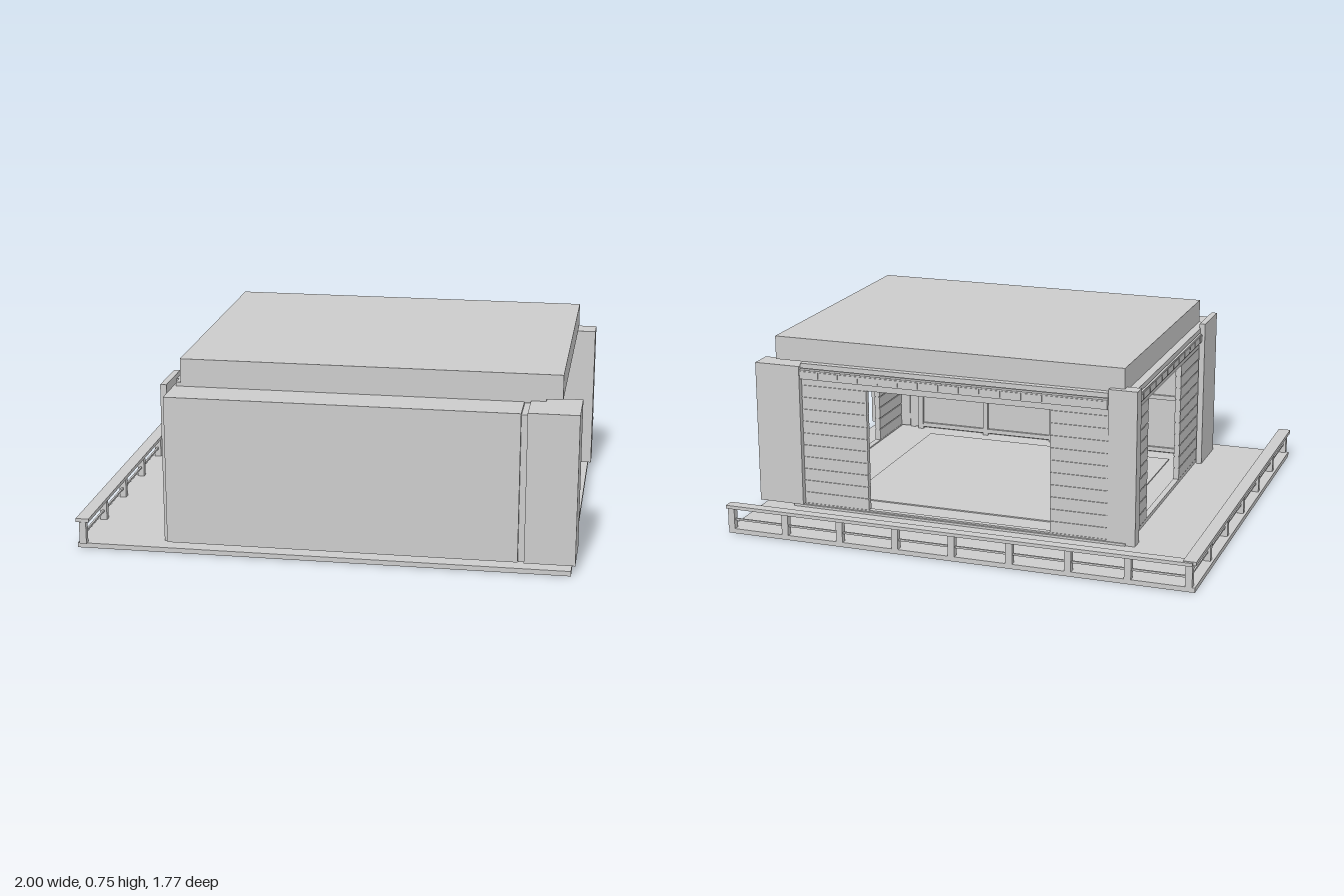
import * as THREE from 'three';

const material = new THREE.MeshStandardMaterial({ color: 0xcccccc, flatShading: true });

export function createModel() {
  const model = new THREE.Group();
  model.name = 'pavilion';

  const group = (name) => {
    const g = new THREE.Group();
    g.name = name;
    model.add(g);
    return g;
  };

  // Box given by its extents on each axis
  const box = (name, [x0, x1], [y0, y1], [z0, z1], parent = model) => {
    const mesh = new THREE.Mesh(new THREE.BoxGeometry(x1 - x0, y1 - y0, z1 - z0), material);
    mesh.position.set((x0 + x1) / 2, (y0 + y1) / 2, (z0 + z1) / 2);
    mesh.name = name;
    parent.add(mesh);
    return mesh;
  };

  // Box on a wall: u runs along the wall, d through its thickness
  const wallBox = (name, axis, u, y, d, parent) =>
    axis === 'x' ? box(name, u, y, d, parent) : box(name, d, y, u, parent);

  // Base and floor
  box('deck', [-0.995, 0.985], [0, 0.02], [-0.875, 0.875]);
  box('innerFloor', [-0.62, 0.85], [0.02, 0.03], [-0.54, 0.76]);
  box('floorMat', [-0.51, 0.66], [0.03, 0.035], [-0.4, 0.55]);

  // Roof slab
  box('roof', [-0.6, 0.925], [0.655, 0.755], [-0.51, 0.69]);

  // Solid front wall and corner pillars
  box('frontWall', [-0.63, 0.775], [0.035, 0.64], [0.635, 0.85]);
  box('frontWallFiller', [0.775, 0.8], [0.03, 0.63], [0.64, 0.83]);
  box('frontLeftPillar', [0.8, 1], [0.035, 0.645], [0.635, 0.855]);
  box('backLeftPillar', [0.8, 1], [0.035, 0.645], [-0.555, -0.455]);
  box('backRightPillar', [-0.66, -0.54], [0.02, 0.67], [-0.535, -0.475]);
  box('frontRightPilaster', [-0.655, -0.63], [0.02, 0.675], [0.575, 0.795]);

  // Planked panel: thin backing with boards separated by fine grooves
  const plankPanel = (name, axis, u, d) => {
    const g = group(name);
    const inset = 0.004, rows = 10, y0 = 0.035, pitch = (0.56 - y0) / rows;
    wallBox('panelBacking', axis, u, [y0, 0.56], [d[0] + inset, d[1] - inset], g);
    for (let i = 0; i < rows; i++) {
      const y = y0 + i * pitch;
      wallBox('plank', axis, u, [y + 0.002, y + pitch - 0.002], d, g);
    }
  };

  // Header: lintel, outer bar with a row of blocks, and top plate
  const header = (name, axis, u, d, outer) => {
    const g = group(name);
    wallBox('lintel', axis, u, [0.56, 0.635], d, g);
    wallBox('topPlate', axis, u, [0.635, 0.656], [d[0] - 0.01, d[1] + 0.005], g);
    wallBox('headerBar', axis, u, [0.59, 0.63], outer, g);
    const count = Math.round((u[1] - u[0]) / 0.09);
    const step = (u[1] - u[0]) / count;
    for (let i = 0; i < count; i++) {
      const s = u[0] + i * step;
      wallBox('headerBlock', axis, [s + 0.004, s + step - 0.004], [0.596, 0.624],
        [outer[0] - 0.003, outer[1] + 0.003], g);
    }
    wallBox('threshold', axis, u, [0.02, 0.036], d, g);
  };

  // Back wall, with a wide opening
  plankPanel('backLeftPanel', 'x', [0.507, 0.81], [-0.53, -0.505]);
  plankPanel('backRightPanel', 'x', [-0.54, -0.297], [-0.53, -0.505]);
  header('backHeader', 'x', [-0.54, 0.8], [-0.53, -0.505], [-0.55, -0.53]);

  // Left side wall (+x)
  plankPanel('leftFrontPanel', 'z', [0.375, 0.64], [0.845, 0.87]);
  plankPanel('leftBackPanel', 'z', [-0.455, -0.175], [0.845, 0.87]);
  header('leftHeader', 'z', [-0.455, 0.64], [0.845, 0.87], [0.87, 0.88]);

  // Right side wall (-x)
  plankPanel('rightFrontPanel', 'z', [0.285, 0.635], [-0.625, -0.6]);
  plankPanel('rightBackPanel', 'z', [-0.475, -0.24], [-0.625, -0.6]);
  header('rightHeader', 'z', [-0.475, 0.635], [-0.625, -0.6], [-0.64, -0.625]);

  // Plate closing the gap between front wall and roof
  box('frontTopPlate', [-0.62, 0.86], [0.636, 0.656], [0.62, 0.685]);

  // Ceiling beams
  for (const x of [-0.13, 0.37]) box('ceilingBeam', [x - 0.015, x + 0.015], [0.625, 0.656], [-0.505, 0.635]);
  for (const z of [-0.13, 0.25]) box('ceilingBeam', [-0.6, 0.845], [0.63, 0.656], [z - 0.015, z + 0.015]);

  // Framed screens on the inside of the front wall
  const screens = group('innerScreens');
  for (let i = 0; i <= 4; i++) {
    const x = -0.58 + i * 0.33;
    box('screenPost', [x - 0.012, x + 0.012], [0.03, 0.56], [0.622, 0.636], screens);
  }
  for (const y of [0.05, 0.3, 0.55]) box('screenRail', [-0.58, 0.74], [y - 0.01, y + 0.01], [0.624, 0.636], screens);

  // Railings along the back and right edges
  const railing = group('railing');
  const backPosts = 9, sidePosts = 7;
  for (let i = 0; i < backPosts; i++) {
    const x = -0.97 + i * (1.942 / (backPosts - 1));
    box('railPost', [x - 0.014, x + 0.014], [0.02, 0.11], [-0.877, -0.85], railing);
  }
  for (let i = 1; i < sidePosts; i++) {
    const z = -0.863 + i * (1.735 / (sidePosts - 1));
    box('railPost', [-0.984, -0.956], [0.02, 0.11], [z - 0.013, z + 0.013], railing);
  }
  box('backTopRail', [-0.985, 0.99], [0.109, 0.123], [-0.887, -0.842], railing);
  box('rightTopRail', [-0.998, -0.945], [0.11, 0.125], [-0.875, 0.882], railing);
  box('backMidRail', [-0.97, 0.97], [0.055, 0.063], [-0.868, -0.86], railing);
  box('rightMidRail', [-0.974, -0.966], [0.055, 0.063], [-0.865, 0.87], railing);
  return model;
}
